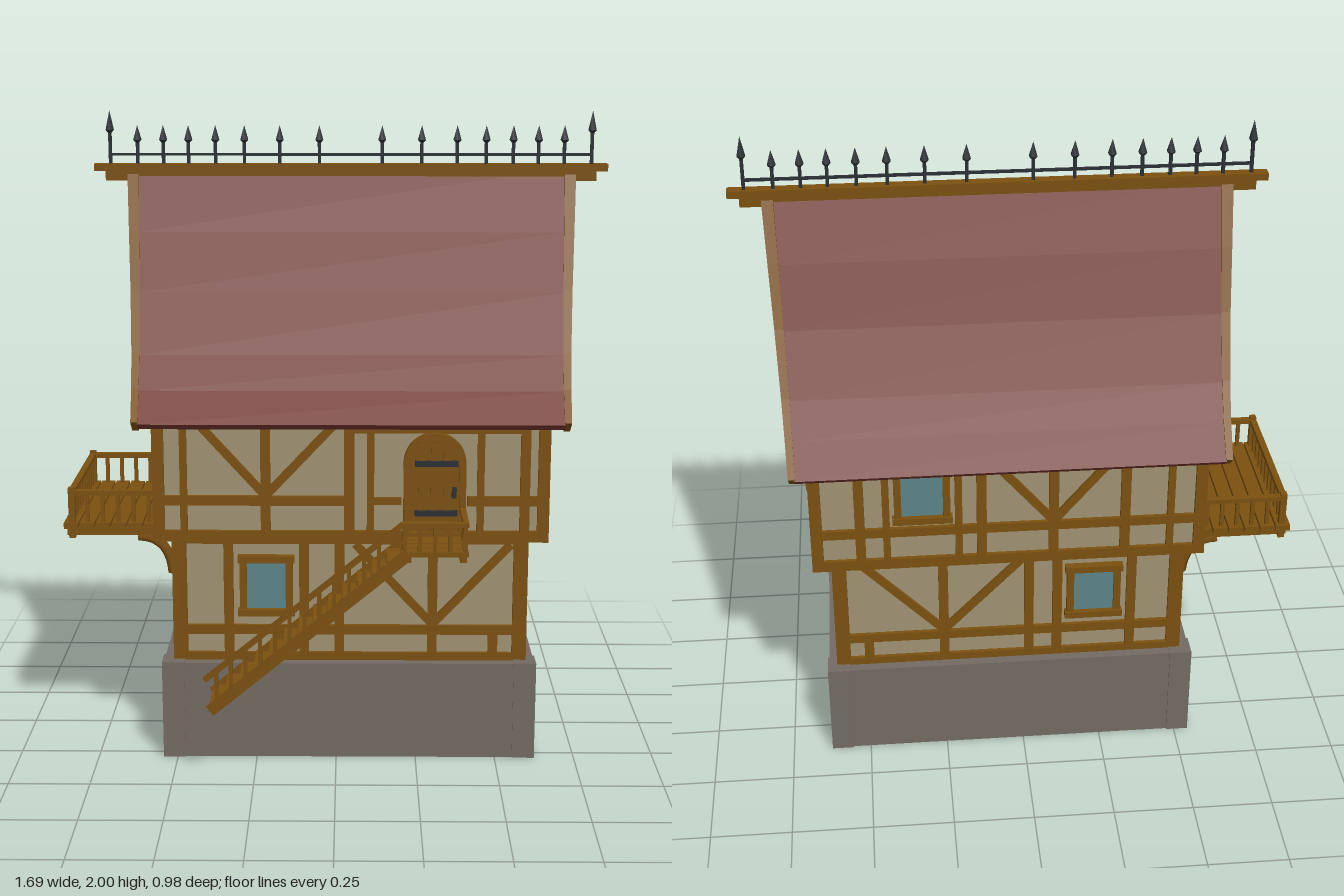
import * as THREE from 'three';

const mat = (name, color, side = THREE.FrontSide) => {
  const m = new THREE.MeshStandardMaterial({ color, side });
  m.name = name;
  return m;
};

export function createModel() {
  const wood = mat('timber', 0x7b5010), plaster = mat('plaster', 0xa09272, THREE.DoubleSide);
  const stone = mat('stone', 0x736b62), tile = mat('roofTile', 0x72342b);
  const glass = mat('glass', 0x5d8488), iron = mat('iron', 0x2a2e33);
  const CX = 0.0425, CZ = -0.04;
  const root = new THREE.Group();
  root.name = 'timberHouse';

  const group = (name, parent = root) => {
    const g = new THREE.Group();
    g.name = name;
    parent.add(g);
    return g;
  };
  const add = (parent, name, geo, m) => {
    const mesh = new THREE.Mesh(geo, m);
    mesh.name = name;
    parent.add(mesh);
    return mesh;
  };
  // Box given by its minimum and maximum corners
  const box = (parent, name, m, x0, x1, y0, y1, z0, z1) => {
    const b = add(parent, name, new THREE.BoxGeometry(x1 - x0, y1 - y0, z1 - z0), m);
    b.position.set((x0 + x1) / 2, (y0 + y1) / 2, (z0 + z1) / 2);
    return b;
  };
  // Straight beam in the local xy plane
  const beam = (parent, name, [x0, y0, x1, y1, w = 0.03], z0 = -0.005, z1 = 0.012, m = wood) => {
    const b = add(parent, name, new THREE.BoxGeometry(Math.hypot(x1 - x0, y1 - y0), w, z1 - z0), m);
    b.position.set((x0 + x1) / 2, (y0 + y1) / 2, (z0 + z1) / 2);
    b.rotation.z = Math.atan2(y1 - y0, x1 - x0);
    return b;
  };
  // Wall-local group: x along the wall, z outward
  const wall = (name, x, z, turn) => {
    const g = group(name);
    g.position.set(x, 0, z);
    g.rotation.y = turn * Math.PI / 2;
    return g;
  };
  const panel = (g, x0, x1, y0, y1) => box(g, 'plasterPanel', plaster, x0, x1, y0, y1, -0.015, 0);
  const timbers = (g, list) => list.forEach(b => beam(g, 'timberBeam', b));
  const windowAt = (parent, x0, x1, y0, y1) => {
    const g = group('window', parent), f = 0.022;
    box(g, 'pane', glass, x0 + f, x1 - f, y0 + f, y1 - f, 0.002, 0.009);
    for (const x of [x0, x1 - f]) box(g, 'jamb', wood, x, x + f, y0, y1, -0.005, 0.02);
    for (const y of [y0, y1 - f]) box(g, 'sill', wood, x0 - 0.006, x1 + 0.006, y, y + f, -0.005, 0.026);
  };
  const hinges = (g, x0, x1, ys) => ys.forEach(y => box(g, 'hinge', iron, x0, x1, y - 0.008, y + 0.008, 0.01, 0.026));

  // Hollow stone base with corner blocks
  const base = group('stoneBase');
  const [bx0, bx1, bz0, bz1, bh] = [-0.545, 0.625, -0.37, 0.29, 0.315];
  for (const z of [bz0 + 0.005, bz1 - 0.05]) box(base, 'longWall', stone, bx0 + 0.02, bx1 - 0.02, 0, bh - 0.003, z, z + 0.045);
  for (const x of [bx0 + 0.005, bx1 - 0.05]) box(base, 'shortWall', stone, x, x + 0.045, 0, bh - 0.003, bz0 + 0.02, bz1 - 0.02);
  for (const x of [bx0, bx1 - 0.07]) for (const z of [bz0, bz1 - 0.075])
    box(base, 'cornerBlock', stone, x, x + 0.07, 0, bh, z, z + 0.075);

  // Corner posts and the beam rings of both storeys
  const frame = group('cornerFrame');
  const storey = (x0, x1, z0, z1, y0, y1, w, rings) => {
    for (const x of [x0, x1 - w]) for (const z of [z0, z1 - w]) box(frame, 'cornerPost', wood, x, x + w, y0, y1, z, z + w);
    for (const [a, b, d] of rings) {
      for (const z of [z0, z1 - d]) box(frame, 'longBeam', wood, x0 + 0.002, x1 - 0.002, a, b, z, z + d);
      for (const x of [x0, x1 - d]) box(frame, 'crossBeam', wood, x, x + d, a, b, z0 + 0.002, z1 - 0.002);
    }
  };
  storey(-0.51, 0.595, -0.335, 0.255, 0.31, 0.72, 0.045, [[0.31, 0.337, 0.03], [0.692, 0.72, 0.04]]);
  storey(-0.56, 0.65, -0.388, 0.31, 0.715, 1.165, 0.036, [[0.715, 0.75, 0.075]]);

  // Front wall
  const lf = wall('lowerFrontWall', 0, 0.243, 0), uf = wall('upperFrontWall', 0, 0.298, 0);
  panel(lf, -0.5, 0.585, 0.315, 0.71);
  panel(uf, -0.55, 0.64, 0.74, 1.17);
  timbers(lf, [[-0.5, 0.412, 0.585, 0.412], [-0.335, 0.33, -0.335, 0.7], [-0.1, 0.33, -0.1, 0.7], [0.01, 0.33, 0.01, 0.7],
    [0.3, 0.33, 0.3, 0.7], [0.49, 0.33, 0.49, 0.41], [0.3, 0.43, 0.54, 0.69, 0.025], [0.3, 0.43, 0.06, 0.69, 0.025]]);
  windowAt(lf, -0.3, -0.135, 0.46, 0.655);
  timbers(uf, [[-0.55, 0.845, 0.04, 0.845], [-0.465, 0.74, -0.465, 1.15, 0.022], [-0.215, 0.74, -0.215, 1.15], [0.04, 0.74, 0.04, 1.15, 0.032],
    [0.105, 0.74, 0.105, 1.06, 0.022], [0.44, 0.74, 0.44, 1.06, 0.022], [0.575, 0.74, 0.575, 1.15], [0.04, 1.068, 0.57, 1.068, 0.022],
    [0.105, 0.845, 0.2, 0.845, 0.022], [0.4, 0.845, 0.64, 0.845], [-0.215, 0.86, -0.44, 1.11, 0.025], [-0.215, 0.86, 0.02, 1.11, 0.025]]);

  // Arched front door
  const door = group('frontDoor', uf);
  const arch = (C, r, y0) => {
    const s = new C();
    s.moveTo(0.3 - r, y0);
    s.lineTo(0.3 + r, y0);
    s.lineTo(0.3 + r, 0.965);
    s.absarc(0.3, 0.965, r, 0, Math.PI, false);
    s.lineTo(0.3 - r, y0);
    return s;
  };
  const surround = arch(THREE.Shape, 0.095, 0.735);
  surround.holes.push(arch(THREE.Path, 0.075, 0.75));
  const ex = (s, depth) => new THREE.ExtrudeGeometry(s, { depth, bevelEnabled: false, curveSegments: 12 });
  add(door, 'doorSurround', ex(surround, 0.024), wood);
  add(door, 'doorLeaf', ex(arch(THREE.Shape, 0.076, 0.75), 0.01), wood);
  for (const x of [0.262, 0.3, 0.338]) box(door, 'doorBatten', wood, x - 0.012, x + 0.012, 0.75, 1.02, 0.005, 0.015);
  hinges(door, 0.24, 0.37, [0.81, 0.965]);
  box(door, 'doorHandle', iron, 0.352, 0.366, 0.86, 0.89, 0.01, 0.03);

  // Back wall (local x is mirrored)
  const lb = wall('lowerBackWall', 0, -0.323, 2), ub = wall('upperBackWall', 0, -0.376, 2);
  panel(lb, -0.585, 0.5, 0.315, 0.71);
  panel(ub, -0.64, 0.55, 0.74, 1.17);
  timbers(lb, [[-0.585, 0.412, 0.5, 0.412], [-0.49, 0.33, -0.49, 0.41], [-0.25, 0.33, -0.25, 0.7], [0.02, 0.33, 0.02, 0.7], [0.11, 0.33, 0.11, 0.7],
    [0.345, 0.33, 0.345, 0.7], [-0.25, 0.43, -0.5, 0.69, 0.025], [-0.25, 0.43, 0, 0.69, 0.025]]);
  windowAt(lb, 0.14, 0.31, 0.46, 0.655);
  timbers(ub, [[-0.64, 0.845, 0.55, 0.845], [-0.5, 0.74, -0.5, 1.15], [-0.42, 0.74, -0.42, 1.15, 0.022], [-0.2, 0.74, -0.2, 1.15, 0.022],
    [-0.13, 0.74, -0.13, 1.15], [0.09, 0.74, 0.09, 1.15], [0.31, 0.74, 0.31, 1.15], [0.45, 0.74, 0.45, 1.15, 0.022],
    [0.09, 0.86, -0.12, 1.11, 0.025], [0.09, 0.86, 0.3, 1.11, 0.025]]);
  windowAt(ub, -0.395, -0.225, 0.88, 1.085);

  // End walls, centred on the ridge; the upper panel rises into the gable
  const gable = new THREE.Shape([[-0.34, 0.74], [0.34, 0.74], [0.34, 1.19], [0.27, 1.26], [0.165, 1.42], [0.08, 1.6], [0, 1.77],
    [-0.08, 1.6], [-0.165, 1.42], [-0.27, 1.26], [-0.34, 1.19]].map(p => new THREE.Vector2(...p)));
  for (const s of [1, -1]) {
    const side = s > 0 ? 'left' : 'right';
    const lo = wall(side + 'LowerEndWall', s > 0 ? 0.583 : -0.498, CZ, s), up = wall(side + 'UpperEndWall', s > 0 ? 0.638 : -0.548, CZ, s);
    panel(lo, -0.285, 0.285, 0.315, 0.71);
    add(up, 'gablePanel', new THREE.ShapeGeometry(gable), plaster);
    timbers(up, [[-0.35, 1.148, 0.35, 1.148, 0.034], [-0.155, 1.45, 0.155, 1.45, 0.025], [-0.11, 1.55, 0.11, 1.55, 0.022]]);
    for (const k of [-1, 1]) timbers(up, [[k * 0.1, 1.16, k * 0.1, 1.55, 0.025], [k * 0.1, 1.235, k * 0.27, 1.235, 0.02],
      [k * 0.28, 1.17, k * 0.11, 1.37, 0.022], [k * 0.02, 1.56, k * 0.02, 1.72, 0.018], [k * 0.155, 0.74, k * 0.155, 1.14, 0.025]]);
    if (s > 0) {
      timbers(lo, [[-0.28, 0.412, 0.28, 0.412], [0, 0.33, 0, 0.7], [-0.1, 0.33, -0.1, 0.41, 0.025], [0.1, 0.33, 0.1, 0.41, 0.025],
        [0, 0.43, 0.235, 0.69, 0.025], [0, 0.43, -0.235, 0.69, 0.025]]);
      timbers(up, [[-0.34, 0.85, 0.34, 0.85], [0, 0.74, 0, 0.85, 0.025], [0, 1.16, 0, 1.34, 0.025]]);
      windowAt(up, -0.13, 0.125, 0.875, 1.09);
      // Curved braces branching from the king post
      for (const k of [-1, 1]) {
        const c = new THREE.QuadraticBezierCurve3(new THREE.Vector3(0, 1.32, 0.004), new THREE.Vector3(k * 0.015, 1.43, 0.004), new THREE.Vector3(k * 0.095, 1.445, 0.004));
        add(up, 'curvedBrace', new THREE.TubeGeometry(c, 8, 0.012, 4), wood);
      }
    } else {
      timbers(lo, [[0.06, 0.412, 0.28, 0.412], [-0.17, 0.33, -0.17, 0.7], [0.05, 0.33, 0.05, 0.7], [0.06, 0.43, 0.25, 0.69, 0.025], [-0.17, 0.655, 0.05, 0.655]]);
      box(lo, 'lowerDoor', wood, -0.155, 0.035, 0.335, 0.64, 0, 0.008);
      hinges(lo, -0.14, 0.01, [0.41, 0.58]);
      timbers(up, [[-0.34, 0.85, -0.155, 0.85], [0.155, 0.85, 0.34, 0.85], [-0.155, 1.085, 0.155, 1.085]]);
      for (const k of [-1, 1]) {
        box(up, 'balconyDoorLeaf', wood, k * 0.07 - 0.065, k * 0.07 + 0.065, 0.75, 1.075, 0, 0.01);
        hinges(up, k * 0.085 - 0.04, k * 0.085 + 0.04, [0.83, 1.0]);
      }
      windowAt(up, -0.08, 0.08, 1.19, 1.4);
    }
  }

  // Sweeping roof: half profile (distance from ridge, height), widening toward the ridge
  const prof = [[0, 1.825], [0.095, 1.635], [0.18, 1.46], [0.285, 1.285], [0.36, 1.19], [0.445, 1.105]];
  const roofBand = (name, m, t, lift, left, right) => {
    const inner = prof.map(([d, y], i) => {
      if (!i) return [0, y - 2.2 * t];
      const a = prof[i - 1], b = prof[Math.min(i + 1, prof.length - 1)];
      const dx = b[0] - a[0], dy = b[1] - a[1], l = Math.hypot(dx, dy);
      return [d + dy / l * t, y - dx / l * t];
    });
    const half = [...prof.slice().reverse().map(([d, y]) => [-d, y]), ...prof.slice(1)];
    const under = [...inner.slice().reverse(), ...inner.slice(1).map(([d, y]) => [-d, y])];
    const shape = new THREE.Shape([...half, ...under].map(([d, y]) => new THREE.Vector2(d, y + lift)));
    const geo = new THREE.ExtrudeGeometry(shape, { depth: 1, bevelEnabled: false }).rotateY(Math.PI / 2);
    const p = geo.attributes.position;
    for (let i = 0; i < p.count; i++) {
      const f = (p.getY(i) - 1.09) / 0.73, l = left[0] + left[1] * f, r = right[0] + right[1] * f;
      p.setX(i, l + (r - l) * p.getX(i));
    }
    geo.computeVertexNormals();
    add(root, name, geo, m).position.z = CZ;
  };
  roofBand('roof', tile, 0.025, 0, [-0.59, -0.027], [0.68, 0.027]);
  roofBand('rightBargeBoard', wood, 0.045, 0.006, [-0.608, -0.045], [-0.588, -0.03]);
  roofBand('leftBargeBoard', wood, 0.045, 0.006, [0.678, 0.03], [0.698, 0.045]);

  // Ridge beam and iron cresting
  const ridge = group('ridge');
  box(ridge, 'ridgeBeam', wood, -0.72, 0.805, 1.785, 1.818, CZ - 0.013, CZ + 0.013);
  box(ridge, 'ridgeCap', wood, -0.755, 0.84, 1.815, 1.837, CZ - 0.018, CZ + 0.018);
  box(ridge, 'crestRail', iron, -0.705, 0.79, 1.861, 1.869, CZ - 0.004, CZ + 0.004);
  const spikes = [-0.705, -0.62, -0.54, -0.462, -0.378, -0.288, -0.178, -0.055];
  for (const x of [...spikes, ...spikes.map(v => 2 * CX - v)]) {
    const top = Math.abs(x - CX) > 0.74 ? 2 : 1.955, h = top > 1.99 ? 0.06 : 0.045;
    box(ridge, 'spikeShaft', iron, x - 0.005, x + 0.005, 1.83, top - h, CZ - 0.005, CZ + 0.005);
    add(ridge, 'spikeTip', new THREE.ConeGeometry(0.014, h, 6), iron).position.set(x, top - h / 2, CZ);
    add(ridge, 'spikeCollar', new THREE.ConeGeometry(0.014, 0.015, 6).rotateX(Math.PI), iron).position.set(x, top - h - 0.0075, CZ);
  }

  // Balcony
  const balcony = group('balcony');
  for (let i = 0; i < 6; i++) box(balcony, 'floorPlank', wood, -0.85 + i * 0.05, -0.805 + i * 0.05, 0.725, 0.745, -0.303, 0.212);
  for (const z of [-0.29, -0.045, 0.185]) box(balcony, 'joist', wood, -0.84, -0.54, 0.705, 0.728, z, z + 0.022);
  const baluster = (g, x, z, y0, y1, w = 0.006) => box(g, 'baluster', wood, x - w, x + w, y0, y1, z - w, z + w);
  for (const z of [-0.285, 0.195]) {
    box(balcony, 'sideRail', wood, -0.835, -0.56, 0.832, 0.847, z - 0.01, z + 0.01);
    baluster(balcony, -0.825, z, 0.695, 0.855, 0.01);
    for (let i = 1; i < 6; i++) baluster(balcony, -0.825 + i * 0.048, z, 0.74, 0.835);
    const curve = new THREE.QuadraticBezierCurve3(new THREE.Vector3(-0.62, 0.7, z), new THREE.Vector3(-0.52, 0.7, z), new THREE.Vector3(-0.512, 0.58, z));
    add(balcony, 'curvedBracket', new THREE.TubeGeometry(curve, 8, 0.016, 4), wood);
  }
  box(balcony, 'outerRail', wood, -0.835, -0.815, 0.832, 0.847, -0.295, 0.205);
  for (let i = 1; i < 10; i++) baluster(balcony, -0.825, -0.285 + i * 0.048, 0.74, 0.835);

  // Stairs with landing and railing
  const stairs = group('stairs');
  for (const z of [0.322, 0.474]) beam(stairs, 'stringer', [-0.38, 0.233, 0.215, 0.728, 0.034], z, z + 0.016);
  for (let i = 0; i < 13; i++) {
    const x = -0.36 + i * 0.0445, y = 0.255 + i * 0.037;
    box(stairs, 'tread', wood, x - 0.02, x + 0.02, y - 0.006, y + 0.006, 0.325, 0.486);
    if (i % 13 < 12) baluster(stairs, x, 0.482, y, y + 0.105);
  }
  beam(stairs, 'handRail', [-0.395, 0.332, 0.2, 0.822, 0.015], 0.472, 0.49);
  for (let i = 0; i < 4; i++) box(stairs, 'landingPlank', wood, 0.2, 0.395, 0.722, 0.738, 0.312 + i * 0.045, 0.353 + i * 0.045);
  for (const x of [0.205, 0.37]) box(stairs, 'landingJoist', wood, x, x + 0.02, 0.705, 0.724, 0.3, 0.488);
  box(stairs, 'landingRail', wood, 0.195, 0.395, 0.814, 0.828, 0.472, 0.49);
  box(stairs, 'landingEndRail', wood, 0.378, 0.395, 0.814, 0.828, 0.305, 0.49);
  for (let i = 0; i < 5; i++) {
    baluster(stairs, 0.205 + i * 0.045, 0.482, 0.735, 0.816);
    baluster(stairs, 0.386, 0.32 + i * 0.04, 0.735, 0.816);
  }
  return root;
}
